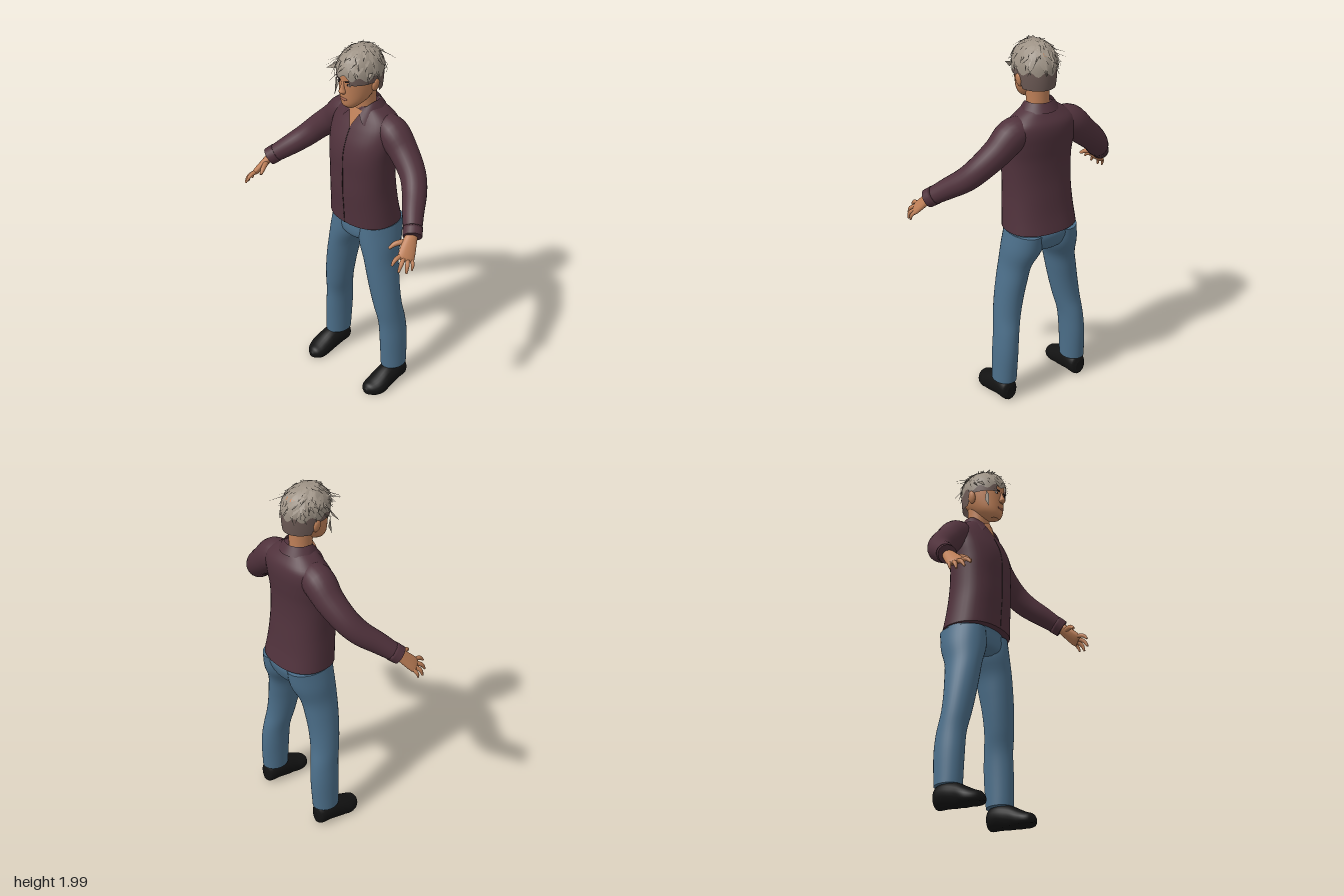
import * as THREE from 'three';
import { ParametricGeometry } from 'three/addons/geometries/ParametricGeometry.js';

const V = (x, y, z) => new THREE.Vector3(x, y, z);
const X = V(1, 0, 0), Y = V(0, 1, 0), Z = V(0, 0, 1);

function material(name, color, side = THREE.FrontSide) {
  const m = new THREE.MeshStandardMaterial({ color, side });
  m.name = name;
  return m;
}

// Smooth capped loft. Rows are [x, y, z, radiusA, radiusB]; radiusA lies along "across".
function loft(rows, { across = X, axis = null, segs = 24, steps = 4, power = 2, floor = -1 } = {}) {
  const path = new THREE.CatmullRomCurve3(rows.map(r => V(r[0], r[1], r[2])), false, 'catmullrom');
  const size = new THREE.CatmullRomCurve3(rows.map(r => V(r[3], r[4], 0)), false, 'catmullrom');
  const n = (rows.length - 1) * steps, pos = [], index = [];
  const travel = path.getPoint(1).sub(path.getPoint(0));
  const bend = c => Math.sign(c) * Math.abs(c) ** (2 / power);
  for (let i = 0; i <= n; i++) {
    const c = path.getPoint(i / n), s = size.getPoint(i / n);
    const t = axis ? axis.clone() : path.getTangent(i / n);
    if (axis && t.dot(travel) < 0) t.negate();
    const u = across.clone().addScaledVector(t, -across.dot(t)).normalize();
    const v = t.clone().cross(u);
    for (let j = 0; j < segs; j++) {
      const a = j / segs * Math.PI * 2;
      const p = c.clone().addScaledVector(u, s.x * bend(Math.cos(a))).addScaledVector(v, s.y * bend(Math.sin(a)));
      pos.push(p.x, Math.max(p.y, floor), p.z);
    }
  }
  for (let i = 0; i < n; i++) for (let j = 0; j < segs; j++) {
    const a = i * segs + j, b = i * segs + (j + 1) % segs;
    index.push(a, b, b + segs, a, b + segs, a + segs);
  }
  // end caps with their own vertices
  for (const end of [0, n]) {
    const base = pos.length / 3;
    pos.push(...pos.slice(end * segs * 3, (end + 1) * segs * 3));
    const r = rows[end ? rows.length - 1 : 0];
    pos.push(r[0], Math.max(r[1], floor), r[2]);
    for (let j = 0; j < segs; j++) {
      const a = base + j, b = base + (j + 1) % segs;
      index.push(...(end ? [a, b, base + segs] : [b, a, base + segs]));
    }
  }
  return fromArrays(pos, index);
}

function fromArrays(pos, index) {
  const g = new THREE.BufferGeometry();
  g.setAttribute('position', new THREE.Float32BufferAttribute(pos, 3));
  g.setIndex(index);
  g.computeVertexNormals();
  return g;
}

export function createModel() {
  const model = new THREE.Group();
  const shirt = material('plum shirt', 0x50323c), shirtOpen = shirt.clone();
  const skin = material('skin', 0xbf8058, THREE.DoubleSide);
  const jeans = material('blue denim', 0x4c6f8a), shoe = material('black leather', 0x131313);
  const hair = material('grey hair', 0x9d9285, THREE.DoubleSide);
  const underHair = material('brown hair', 0x6c5a55, THREE.DoubleSide);
  const dark = material('dark brow', 0x241a1a), lip = material('lip', 0xa0604a);
  const white = material('eye white', 0xcfc4bc);
  shirtOpen.side = THREE.DoubleSide;
  const add = (name, geometry, mat) => {
    const m = new THREE.Mesh(geometry, mat);
    m.name = name;
    model.add(m);
    return m;
  };
  const blob = (name, mat, p, s) => {
    const m = add(name, new THREE.SphereGeometry(1, 16, 12), mat);
    m.position.set(...p);
    m.scale.set(...s);
    return m;
  };
  const upright = { axis: Y, segs: 32 };

  // Shirt body
  add('shirtBody', loft([
    [0, 1.01, -.097, .197, .157], [0, 1.1, -.085, .189, .15], [0, 1.2, -.075, .182, .147],
    [0, 1.3, -.07, .182, .142], [0, 1.4, -.07, .186, .142], [0, 1.48, -.082, .195, .138],
    [0, 1.55, -.1, .197, .125], [0, 1.6, -.11, .178, .107], [0, 1.64, -.107, .13, .083],
    [0, 1.67, -.1, .08, .068]], { ...upright, segs: 40, power: 2.3 }), shirt);
  add('placketSeam', new THREE.TubeGeometry(new THREE.CatmullRomCurve3([
    V(0, 1.01, .06), V(0, 1.1, .065), V(0, 1.2, .072), V(0, 1.3, .072), V(0, 1.4, .072),
    V(0, 1.48, .056), V(0, 1.56, .02)]), 24, .002, 5), dark);
  // Folded collar, open at the front
  add('collar', new ParametricGeometry((u, v, out) => {
    const a = .3 + u * (Math.PI * 2 - .6), b = Math.PI + (a - Math.PI) * (1 - .2 * v);
    const front = Math.max(0, Math.cos(a)) ** 2, depth = Math.cos(b) > 0 ? .143 : .1;
    out.set(Math.sin(b) * (.073 + .03 * v), 1.698 - .05 * front - v * (.045 + .02 * front),
      -.093 + Math.cos(b) * (.072 + (depth - .072) * v));
  }, 40, 4), shirtOpen);
  // Bare skin in the open neckline
  add('openNeck', fromArrays([0, 1.562, .025, .045, 1.655, -.022, 0, 1.67, -.012, -.045, 1.655, -.022],
    [0, 1, 2, 0, 2, 3]), skin);

  // Trousers seat
  add('trouserSeat', loft([[0, 1.05, -.1, .178, .13], [0, 1, -.112, .188, .136], [0, .95, -.106, .19, .132],
    [0, .91, -.1, .15, .118], [0, .885, -.098, .08, .08]], upright), jeans);

  for (const s of [1, -1]) {
    const side = s > 0 ? 'left' : 'right';
    const mirror = rows => rows.map(r => [r[0] * s, ...r.slice(1)]);
    // Legs and shoes
    add(side + 'TrouserLeg', loft(mirror([
      [.1, 1, -.112, .09, .134], [.108, .9, -.1, .1, .128], [.135, .8, -.08, .081, .106],
      [.155, .7, -.075, .079, .095], [.173, .6, -.075, .077, .086], [.19, .5, -.082, .072, .081],
      [.206, .4, -.098, .065, .082], [.216, .28, -.103, .065, .084], [.222, .115, -.101, .064, .076]]), upright), jeans);
    add(side + 'Shoe', loft(mirror([
      [.226, .05, -.172, .02, .035], [.226, .06, -.155, .047, .06], [.226, .065, -.1, .057, .067],
      [.228, .05, -.03, .06, .067], [.23, .03, .03, .064, .056], [.226, .022, .07, .058, .044],
      [.222, .02, .1, .04, .034], [.221, .018, .117, .014, .014]]), { axis: Z, floor: 0 }), shoe);

    // Sleeve and cuff
    add(side + 'Sleeve', loft(mirror([
      [.09, 1.565, -.115, .07, .07], [.17, 1.545, -.113, .085, .085], [.25, 1.475, -.11, .077, .075],
      [.34, 1.395, -.085, .068, .067], [.4, 1.33, -.04, .063, .062], [.46, 1.27, .03, .055, .055],
      [.53, 1.205, .104, .044, .044]]), { across: Z }), shirt);
    add(side + 'Cuff', loft(mirror([[.508, 1.226, .08, .05, .05], [.535, 1.2, .11, .048, .048]]),
      { across: Z }), shirt);

    // Hand
    const across = V(-.5 * s, .25, .85);
    add(side + 'Palm', loft(mirror([[.522, 1.215, .095, .027, .024], [.54, 1.175, .135, .038, .021],
      [.563, 1.127, .18, .044, .017], [.57, 1.113, .193, .034, .01]]), { across, segs: 16 }), skin);
    const fingers = {
      Thumb: [[.528, 1.182, .135], [.497, 1.177, .185], [.481, 1.155, .218], .014],
      IndexFinger: [[.546, 1.136, .208], [.545, 1.128, .24], [.546, 1.105, .263], .0115],
      MiddleFinger: [[.56, 1.127, .194], [.574, 1.108, .226], [.577, 1.075, .248], .0115],
      RingFinger: [[.571, 1.12, .176], [.592, 1.096, .202], [.598, 1.062, .213], .011],
      LittleFinger: [[.579, 1.118, .158], [.6, 1.094, .172], [.602, 1.067, .18], .0095],
    };
    for (const [name, [a, b, c, r]] of Object.entries(fingers)) {
      add(side + name, loft(mirror([[...a, r, r], [...b, r * .95, r * .95], [...c, r * .5, r * .5]]),
        { across, segs: 10 }), skin);
    }

    // Ear, eye and brow
    blob(side + 'Ear', skin, [.097 * s, 1.805, -.062], [.013, .036, .022]).rotation.z = -.2 * s;
    blob(side + 'Eye', white, [.034 * s, 1.823, .0605], [.016, .006, .005]);
    blob(side + 'Iris', dark, [.033 * s, 1.823, .0635], [.006, .006, .004]);
    const brow = add(side + 'Brow', new THREE.BoxGeometry(.04, .007, .008), dark);
    brow.position.set(.036 * s, 1.841, .062);
    brow.rotation.set(0, .35 * s, .2 * s);
  }

  // Neck and head
  add('neck', loft([[0, 1.6, -.088, .058, .055], [0, 1.7, -.083, .058, .06], [0, 1.79, -.075, .064, .07]], upright), skin);
  add('head', loft([
    [0, 1.683, .022, .026, .02], [0, 1.7, .006, .047, .054], [0, 1.73, -.015, .069, .08],
    [0, 1.78, -.04, .085, .108], [0, 1.84, -.052, .094, .122], [0, 1.9, -.055, .094, .122],
    [0, 1.95, -.055, .076, .098], [0, 1.973, -.055, .035, .045]], upright), skin);
  add('nose', loft([[0, 1.838, .06, .008, .01], [0, 1.8, .068, .012, .017], [0, 1.781, .071, .019, .02],
    [0, 1.768, .066, .012, .01]], { axis: Y, segs: 14 }), skin);
  blob('lips', lip, [0, 1.737, .064], [.026, .008, .006]);

  // Hair shells over the skull
  const CY = 1.868, RX = .106, RY = .124, RZ = .134, CZ = -.052;
  const shell = (a, y, k, out) => {
    const h = (y - CY) / (y > CY ? RY : .3), r = k * Math.sqrt(Math.max(0, 1 - h * h));
    return out.set(Math.sin(a) * RX * r, y, CZ + Math.cos(a) * RZ * r);
  };
  add('sideHair', new ParametricGeometry((u, v, out) => {
    const a = .42 + u * (Math.PI * 2 - .84), d = Math.min(a, Math.PI * 2 - a);
    const low = 1.825 - .06 * THREE.MathUtils.smoothstep(d, 1.65, 1.9);
    shell(a, low + v * (1.89 - low), .985, out);
  }, 48, 6), underHair);
  add('hairCap', new ParametricGeometry((u, v, out) => {
    const a = u * Math.PI * 2, low = 1.852 + .012 * Math.sin(a * 9) + .012 * Math.max(0, Math.cos(a)) ** 4;
    shell(a, low + Math.sin(v * Math.PI / 2) * (CY + RY - low), 1, out);
  }, 64, 14), hair);

  // Tousled locks: tapering curved strips running down from the crown
  let seed = 7;
  const rand = () => (seed = (seed * 16807) % 2147483647) / 2147483647;
  const locks = (count, start, length, lift, width) => {
    const pos = [], index = [];
    for (let i = 0; i < count; i++) {
      const a0 = rand() * Math.PI * 2, p0 = start[0] + rand() * start[1], len = length * (.6 + rand() * .7);
      const twist = (rand() - .5) * .7, out = lift * (.3 + rand()), w = width * (.6 + rand() * .7);
      const base = pos.length / 3;
      for (let k = 0; k <= 5; k++) {
        const t = k / 5, p = Math.min(p0 + len * t, 1.8), a = a0 + twist * t;
        const r = 1.005 + out * t * t, half = w * (1 - t * .85) * (.6 + .4 * Math.sin(Math.PI * Math.min(1, t * 2)));
        for (const e of [-1, 1]) {
          pos.push(RX * r * Math.sin(p) * Math.sin(a) + e * half * Math.cos(a),
            Math.min(2, CY + RY * r * Math.cos(p) + e * half * .25),
            CZ + RZ * r * Math.sin(p) * Math.cos(a) - e * half * Math.sin(a));
        }
        if (k < 5) {
          const q = base + k * 2;
          index.push(q, q + 2, q + 1, q + 1, q + 2, q + 3);
        }
      }
    }
    return fromArrays(pos, index);
  };
  add('hairLocks', locks(110, [.1, 1.15], .5, .1, .016), hair);
  add('strayLocks', locks(22, [.7, .6], .5, .4, .008), hair);
  // Loose tufts at the right temple
  for (const [x, y, z, dx, dy] of [[-.1, 1.87, .01, -.065, -.035], [-.1, 1.85, -.02, -.05, .01],
    [-.09, 1.81, .03, .005, -.09], [.1, 1.87, -.01, .035, .02]]) {
    add('looseTuft', fromArrays([x, y + .012, z, x + .012, y - .012, z + .01,
      x + dx, y + dy, z + .015, x + dx * .6, y + dy * .6 + .012, z - .01], [0, 1, 2, 0, 2, 3]), hair);
  }
  return model;
}
